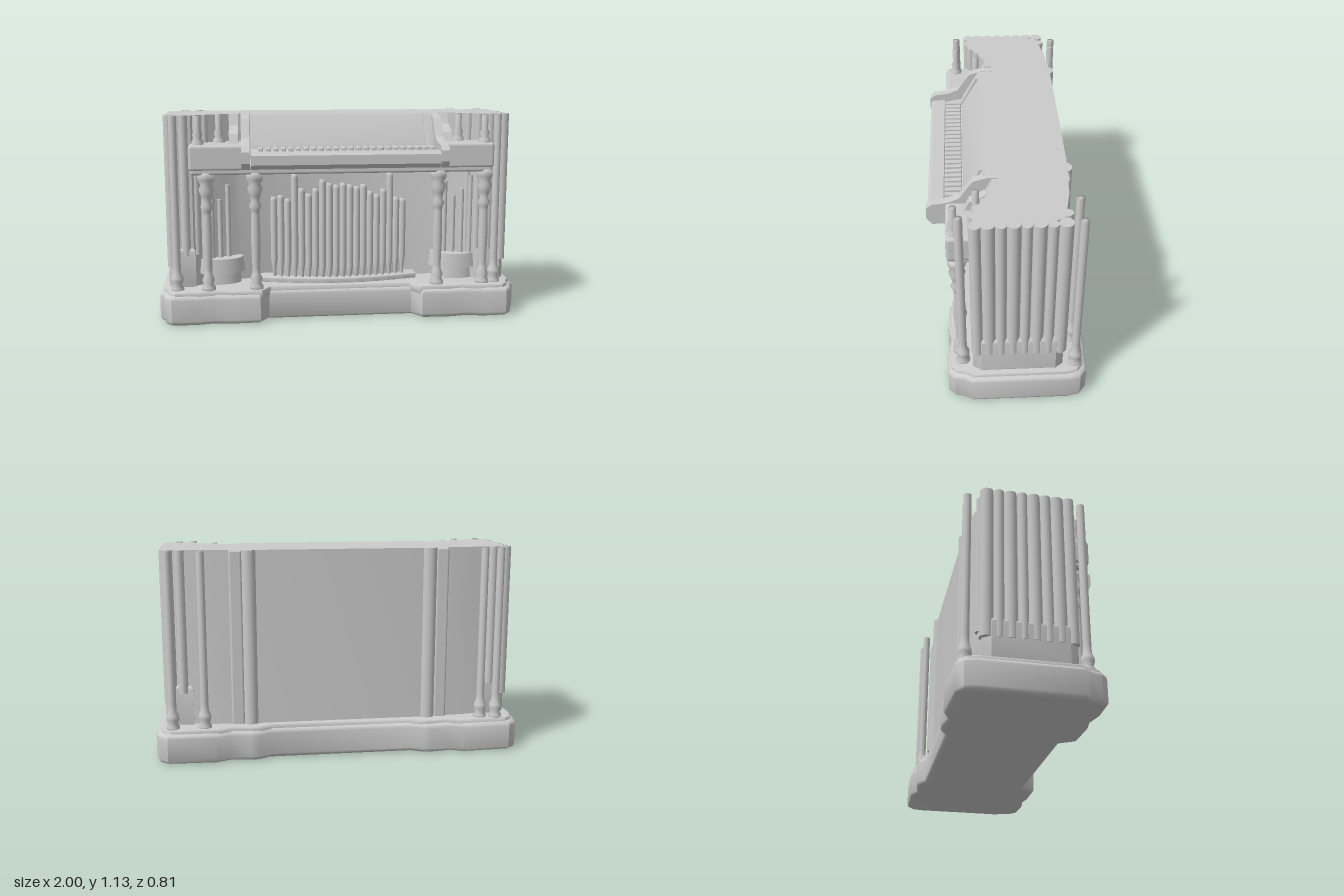
import * as THREE from 'three';
import { RoundedBoxGeometry } from 'three/addons/geometries/RoundedBoxGeometry.js';
import { toCreasedNormals } from 'three/addons/utils/BufferGeometryUtils.js';

const TOP = 1.13;
const material = new THREE.MeshStandardMaterial({ color: 0xcccccc, side: THREE.DoubleSide });

export function createModel() {
  const model = new THREE.Group();
  model.name = 'organCase';

  const add = (name, geometry, x = 0, y = 0, z = 0) => {
    const mesh = new THREE.Mesh(geometry, material);
    mesh.name = name;
    mesh.position.set(x, y, z);
    model.add(mesh);
    return mesh;
  };
  const box = (name, x0, x1, y0, y1, z0, z1, r = 0.012) =>
    add(name, new RoundedBoxGeometry(x1 - x0, y1 - y0, z1 - z0, 2, r),
      (x0 + x1) / 2, (y0 + y1) / 2, (z0 + z1) / 2);
  const tube = (name, x, z, y0, y1, r, sides = 14) =>
    add(name, new THREE.CylinderGeometry(r, r, y1 - y0, sides), x, (y0 + y1) / 2, z);
  // Lathe from [radius, height] pairs
  const turned = (name, x, z, profile) =>
    add(name, new THREE.LatheGeometry(profile.map(([r, y]) => new THREE.Vector2(r, y)), 18), x, 0, z);
  // Vertical prism from an [x, z] outline
  const prism = (name, outline, y0, y1, bevel = 0) => {
    const shape = new THREE.Shape(outline.map(([x, z]) => new THREE.Vector2(x, -z)));
    const g = new THREE.ExtrudeGeometry(shape, {
      depth: y1 - y0 - 2 * bevel, bevelEnabled: bevel > 0, bevelSize: bevel,
      bevelThickness: bevel, bevelOffset: -bevel, bevelSegments: 4,
    });
    g.rotateX(-Math.PI / 2);
    return add(name, toCreasedNormals(g, 0.6), 0, y0 + bevel, 0);
  };
  // Prism along x from a [z, y] section
  const sideProfile = (name, section, x0, x1) => {
    const shape = new THREE.Shape(section.map(([z, y]) => new THREE.Vector2(-z, y)));
    const g = new THREE.ExtrudeGeometry(shape, { depth: x1 - x0, bevelEnabled: false });
    g.rotateY(Math.PI / 2);
    return add(name, toCreasedNormals(g, 0.5), x0, 0, 0);
  };
  // Doubles the x > 0 half of an outline, which runs from front to back
  const mirrored = (half) => [...half, ...half.map(([x, z]) => [-x, z]).reverse()];

  // Stepped plinth: swelling block with a narrower top moulding
  const footprint = (k) => mirrored([
    [0.40, 0.24], [0.45, 0.32], [0.62, 0.325], [0.70, 0.31], [0.80, 0.33], [0.93, 0.325],
    [0.965, 0.29], [0.975, 0.24], [1, 0.20], [1, -0.30], [0.985, -0.36], [0.94, -0.395],
    [0.68, -0.405], [0.61, -0.375], [0.50, -0.39], [0.45, -0.385], [0.39, -0.352],
  ]).map(([x, z]) => [x * (1 - k), z * (1 - 2 * k)]);
  prism('plinth', footprint(0), 0, 0.165, 0.025);
  prism('plinthMoulding', footprint(0.022), 0.13, 0.185, 0.012);

  // Main case with a shallow front alcove and chamfered back corners
  prism('case', mirrored([
    [0.55, 0.04], [0.62, 0.08], [0.73, 0.12], [0.81, 0.18], [0.90, 0.18], [0.92, 0.12],
    [0.92, -0.18], [0.88, -0.25], [0.70, -0.285], [0.56, -0.29], [0.44, -0.30],
  ]), 0.17, TOP);

  for (const s of [-1, 1]) {
    // Rounded lower side panel with a sloping shoulder
    prism('sidePanel', [[0.80, 0.195], [0.92, 0.195], [0.95, 0.15], [0.95, -0.23],
      [0.92, -0.27], [0.80, -0.28]].map(([x, z]) => [s * x, z]), 0.17, 0.40, 0.02);
    // Tall pipes along the sides
    const radii = [0.03, 0.036, 0.028, 0.034, 0.025, 0.033, 0.026, 0.035];
    radii.forEach((r, i) => tube('sidePipe', s * (0.955 - r), 0.17 - i * 0.06, 0.30, TOP, r));
    // Pipes turning the front and back corners
    [[0.85, 0.175, 0.025], [0.79, 0.155, 0.02], [0.74, 0.12, 0.02], [0.85, -0.265, 0.025]]
      .forEach(([x, z, r]) => tube('cornerPipe', s * x, z, 0.36, TOP, r));
    // Rear half-round pilasters
    tube('backPilaster', s * 0.49, -0.28, 0.17, TOP, 0.042, 20);
    box('backPilasterBacking', s * 0.56 - 0.035, s * 0.56 + 0.035, 0.17, TOP, -0.305, -0.25);

    // Curved seat block inside each lower niche
    const niche = add('nicheBlock', new THREE.CylinderGeometry(0.14, 0.15, 0.08, 24), s * 0.68, 0.29, 0.08);
    niche.scale.z = 0.7;
    const foot = add('nicheFoot', new THREE.CylinderGeometry(0.12, 0.13, 0.09, 24), s * 0.68, 0.215, 0.08);
    foot.scale.z = 0.7;
    // Tapering little pipes on the niche wall
    for (let i = 0; i < 4; i++) {
      const h = [0.74, 0.66, 0.70, 0.78][i];
      tube('nichePipe', s * (0.62 + i * 0.045), 0.085 + i * 0.018, 0.33, h, 0.014, 10);
    }
  }

  // Slender corner columns on turned feet
  const slender = [[0.001, 0.17], [0.036, 0.17], [0.036, 0.195], [0.026, 0.21], [0.034, 0.235],
    [0.033, 0.255], [0.022, 0.28], [0.021, 0.32], [0.021, TOP], [0.001, TOP]];
  [[-0.90, 0.245], [0.87, 0.245], [-0.87, -0.34], [-0.785, -0.33], [0.74, -0.335], [0.91, -0.335]]
    .forEach(([x, z]) => turned('cornerColumn', x, z, slender));

  // Turned columns carrying the console
  const baluster = [[0.001, 0.17], [0.038, 0.17], [0.038, 0.20], [0.026, 0.215], [0.034, 0.24],
    [0.022, 0.27], [0.021, 0.30], [0.027, 0.46], [0.023, 0.60], [0.024, 0.62], [0.035, 0.645],
    [0.023, 0.67], [0.030, 0.70], [0.042, 0.74], [0.030, 0.765], [0.045, 0.79], [0.048, 0.83], [0.001, 0.83]];
  [-0.73, -0.47, 0.54, 0.80].forEach((x) => turned('consoleColumn', x, 0.26, baluster));

  // Console shelf with projecting wings
  box('consoleShelf', -0.81, 0.83, 0.82, 0.875, 0.03, 0.305);
  box('consoleWing', -0.82, -0.50, 0.84, 0.98, 0.03, 0.31, 0.018);
  box('consoleWing', 0.52, 0.84, 0.84, 0.98, 0.03, 0.31, 0.018);

  // Keyboard desk: hollow section with a front lip and sloping back
  sideProfile('keyboardDesk', [[0.03, 0.85], [0.37, 0.855], [0.40, 0.88], [0.40, 0.93], [0.385, 0.945],
    [0.32, 0.945], [0.31, 0.935], [0.22, 0.95], [0.215, 0.97], [0.12, TOP], [0.03, TOP]], -0.49, 0.53);
  for (const x of [-0.54, 0.52]) {
    sideProfile('deskCheek', [[0.03, 0.85], [0.38, 0.855], [0.407, 0.89], [0.407, 0.95], [0.38, 0.975],
      [0.30, 0.985], [0.24, 1.01], [0.20, 1.07], [0.17, 1.11], [0.10, TOP], [0.03, TOP]], x, x + 0.045);
  }
  for (let i = 0; i < 24; i++) {
    const x = -0.45 + i * 0.0405;
    box('key', x, x + 0.026, 0.93, 0.962, 0.225, 0.315, 0.006);
  }
  // Frame of the sloping panel above the keys
  for (const x of [-0.43, 0.47]) {
    sideProfile('musicPanelFrame', [[0.16, 0.96], [0.228, 0.96], [0.135, TOP], [0.08, TOP]], x, x + 0.025);
  }

  // Short columns standing on the wings
  const upper = [[0.032, 0.97], [0.032, 0.995], [0.02, 1.01], [0.028, 1.03], [0.018, 1.05], [0.018, TOP], [0.001, TOP]];
  [[-0.77, 0.25], [-0.66, 0.13], [0.79, 0.27], [0.67, 0.16]]
    .forEach(([x, z]) => turned('wingColumn', x, z, upper));
  for (const x of [-0.58, 0.60]) {
    sideProfile('scrollBracket', [[0.03, 0.97], [0.22, 0.97], [0.19, 1.03], [0.11, 1.07], [0.08, TOP], [0.03, TOP]],
      x - 0.025, x + 0.025);
  }

  // Bowed ledge and screen of pipes in the central alcove
  const bow = (x) => 0.09 + 0.08 * Math.cos(x * 3.4);
  const arc = Array.from({ length: 21 }, (_, i) => -0.45 + i * 0.045);
  prism('pipeLedge', [...arc.map((x) => [x, bow(x) + 0.03]), [0.45, 0], [-0.45, 0]], 0.17, 0.215, 0.008);
  prism('pipeScreen', [...arc.slice(2, 19).map((x) => [x, bow(x) - 0.018]), [0.36, 0], [-0.36, 0]], 0.2, 0.62);
  const tops = [0.67, 0.68, 0.66, 0.80, 0.72, 0.69, 0.72, 0.77, 0.75, 0.74, 0.75, 0.74, 0.73,
    0.74, 0.70, 0.68, 0.71, 0.80, 0.66, 0.65];
  tops.forEach((top, i) => {
    const x = -0.365 + i * 0.0385;
    const y = 0.22 + 0.05 * Math.abs(x) / 0.37;
    turned('frontPipe', x, bow(x), [[0.008, 0.2], [0.012, y], [0.019, y + 0.05],
      [0.019, top - 0.02], [0.015, top], [0.001, top]]);
  });

  return model;
}
